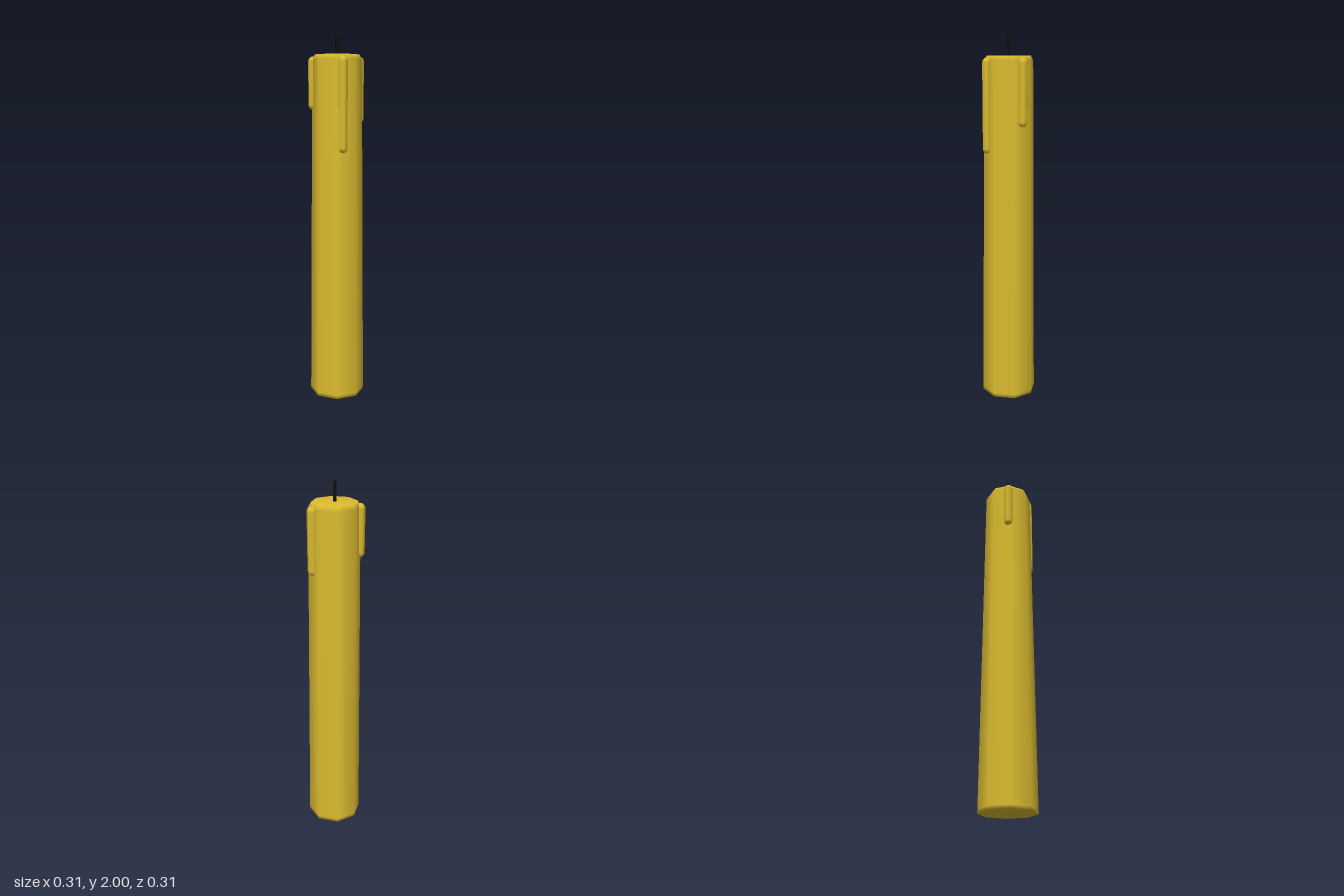
import * as THREE from 'three';

export function createModel() {
  const model = new THREE.Group();
  model.name = 'candle';

  const wax = new THREE.MeshStandardMaterial({ color: 0xdcbc30 });
  wax.name = 'yellow wax';
  const black = new THREE.MeshStandardMaterial({ color: 0x111111 });
  black.name = 'black wick';

  const add = (name, geometry, material, x, y, z) => {
    const mesh = new THREE.Mesh(geometry, material);
    mesh.name = name;
    mesh.position.set(x, y, z);
    model.add(mesh);
  };

  // Tapered eight-sided body with a softly shaded rim
  const profile = [
    [0, 0], [0.153, 0], [0.152, 0.02], [0.132, 1.875], [0.118, 1.9], [0, 1.9],
  ].map(([r, y]) => new THREE.Vector2(r, y));
  add('body', new THREE.LatheGeometry(profile, 8), wax, 0, 0, 0);

  // Wick
  add('wick', new THREE.CylinderGeometry(0.01, 0.01, 0.12, 5), black, 0, 1.94, 0);

  // Wax drips running down from the rim: x, z, lowest point
  const dripRadius = 0.026;
  const dripTop = 1.89;
  const drips = [
    ['frontDrip', -0.066, 0.109, 1.39],
    ['leftDrip', 0.119, 0.049, 1.535],
    ['backDrip', -0.085, -0.098, 1.61],
  ];
  for (const [name, x, z, bottom] of drips) {
    const straight = dripTop - bottom - 2 * dripRadius;
    add(name, new THREE.CapsuleGeometry(dripRadius, straight, 3, 6), wax, x, (dripTop + bottom) / 2, z);
  }

  return model;
}
